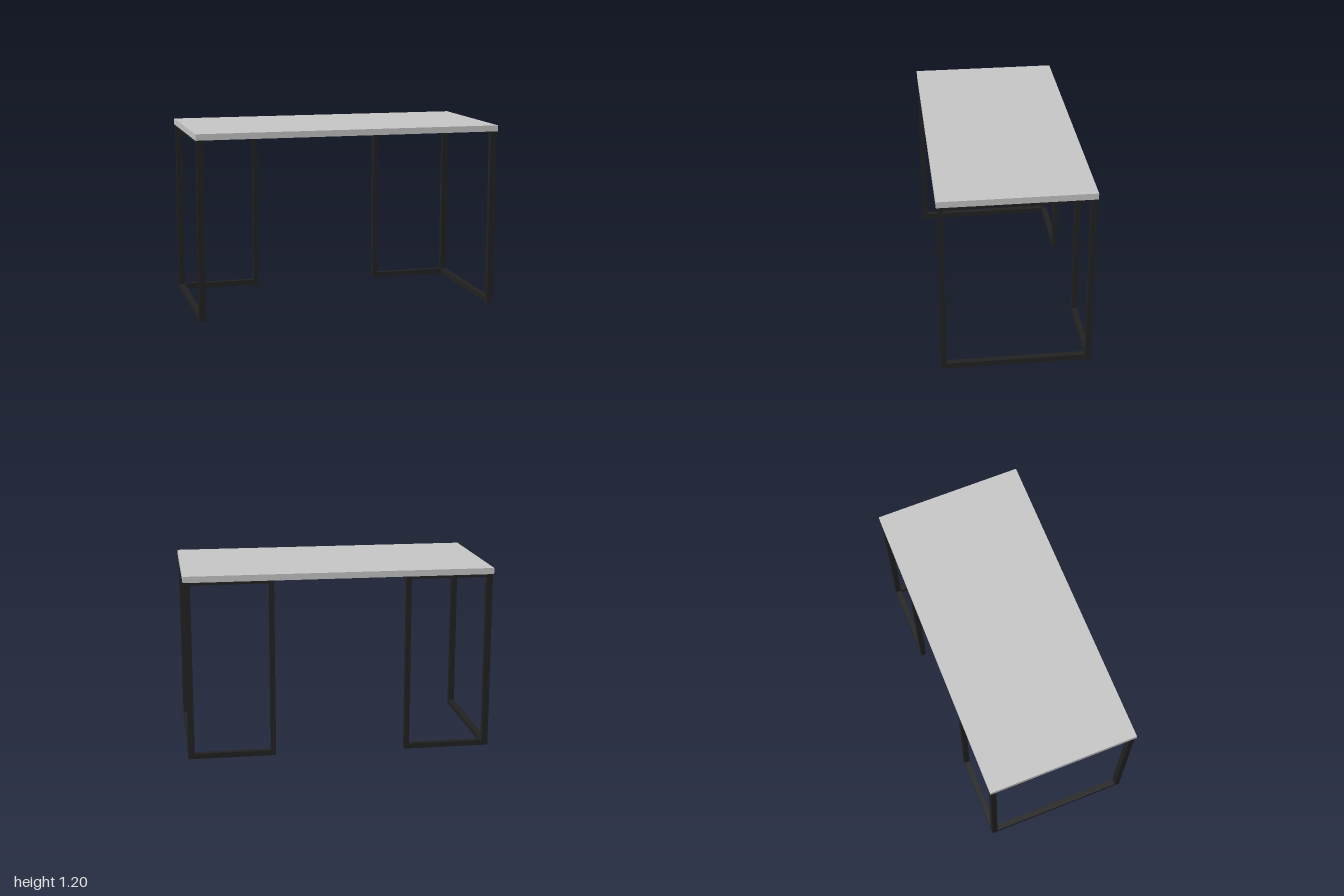
import * as THREE from 'three';

export function createModel() {
  const desk = new THREE.Group();
  desk.name = 'desk';
  const topGrey = new THREE.MeshStandardMaterial({ color: 0xc8c8c8 });
  topGrey.name = 'light grey top';
  const frameBlack = new THREE.MeshStandardMaterial({ color: 0x222222 });
  frameBlack.name = 'black steel';

  // Box given by its minimum and maximum corners
  function bar(parent, name, material, [x0, y0, z0], [x1, y1, z1]) {
    const mesh = new THREE.Mesh(new THREE.BoxGeometry(x1 - x0, y1 - y0, z1 - z0), material);
    mesh.position.set((x0 + x1) / 2, (y0 + y1) / 2, (z0 + z1) / 2);
    mesh.name = name;
    parent.add(mesh);
  }

  const under = 1.162; // underside of the tabletop
  const railLow = 1.144; // underside of the thin upper rails
  const foot = 0.035; // height of the floor rails
  const outer = 0.994, inner = 0.954; // corner post in x
  const zOut = 0.48, zIn = 0.444; // posts in z

  bar(desk, 'tabletop', topGrey, [-1, under, -0.486], [1, 1.202, 0.486]);

  // L-shaped frame on each side: a full side loop and a shorter loop along the back
  for (const side of [-1, 1]) {
    const frame = new THREE.Group();
    frame.name = side > 0 ? 'leftFrame' : 'rightFrame';
    desk.add(frame);
    const add = (name, xa, xb, y0, y1, z0, z1) => bar(frame, name, frameBlack,
      [Math.min(side * xa, side * xb), y0, z0], [Math.max(side * xa, side * xb), y1, z1]);

    add('frontLeg', inner, outer, 0, under, zIn, zOut);
    add('backLeg', inner, outer, 0, under, -zOut, -zIn);
    add('innerBackLeg', 0.426, 0.459, 0, under, -zOut, -zIn);
    add('sideFloorRail', inner, outer, 0, foot, -zIn, zIn);
    add('sideTopRail', inner, outer, railLow, under, -zIn, zIn);
    add('backFloorRail', 0.459, inner, 0, foot, -zOut, -zIn);
    add('backTopRail', 0.459, inner, railLow, under, -zOut, -zIn);
  }
  return desk;
}
